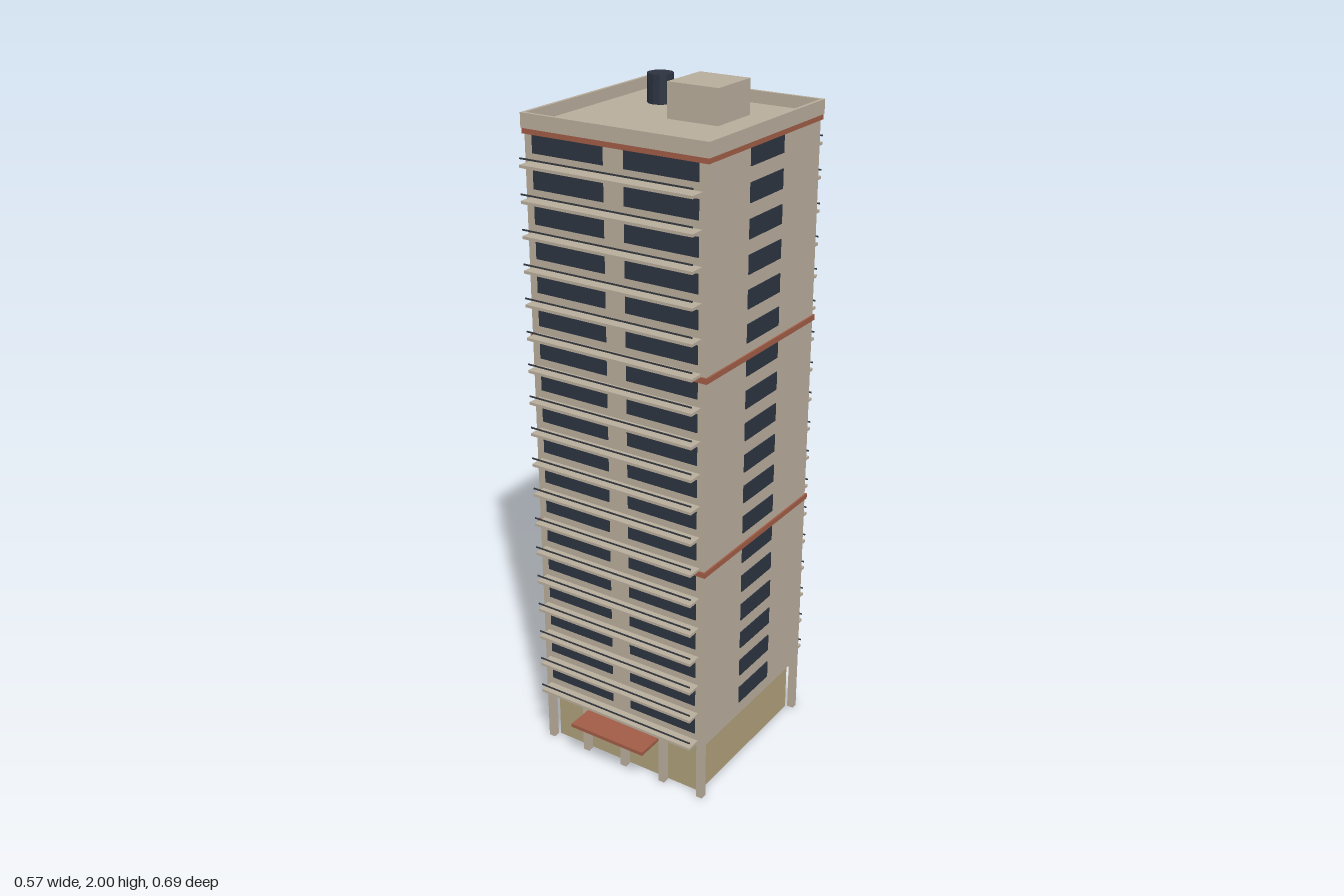
import * as THREE from 'three';

const mat = (name, color, side = THREE.FrontSide) => {
  const m = new THREE.MeshStandardMaterial({ color, side });
  m.name = name;
  return m;
};

export function createModel() {
  const concrete = mat('concrete', 0xb8ad9c);
  const lobbyWall = mat('lobby wall', 0xaf9f7a, THREE.DoubleSide);
  const glass = mat('dark glass', 0x2c3441);
  const terracotta = mat('terracotta', 0xa05c46);
  const railing = mat('railing', 0x34383e);

  const model = new THREE.Group();
  model.name = 'apartmentTower';
  // Everything is laid out around the tower axis, slightly behind the origin
  const tower = new THREE.Group();
  tower.name = 'tower';
  tower.position.z = -0.02;
  model.add(tower);

  const box = (name, m, w, h, d, x, y, z, parent = tower) => {
    const mesh = new THREE.Mesh(new THREE.BoxGeometry(w, h, d), m);
    mesh.name = name;
    mesh.position.set(x, y, z);
    parent.add(mesh);
    return mesh;
  };

  const base = 0.18, floors = 18, pitch = 0.0948, half = 0.28;
  const top = base + floors * pitch;

  // Recessed lobby: four walls, open underneath
  const lobbyGeo = new THREE.CylinderGeometry(0.255 * Math.SQRT2, 0.255 * Math.SQRT2, base, 4, 1, true, Math.PI / 4);
  const lobby = new THREE.Mesh(lobbyGeo.toNonIndexed(), lobbyWall);
  lobby.geometry.computeVertexNormals();
  lobby.name = 'lobby';
  lobby.position.y = base / 2;
  tower.add(lobby);

  // Columns: five along the front, two at the back corners
  for (const x of [-0.27, -0.138, 0, 0.138, 0.27]) box('frontColumn', concrete, 0.02, base, 0.02, x, base / 2, 0.27);
  for (const x of [-0.27, 0.27]) box('backColumn', concrete, 0.02, base, 0.02, x, base / 2, -0.27);

  // Entrance canopy
  box('canopy', terracotta, 0.254, 0.011, 0.115, 0, 0.146, 0.3055);

  // Main shaft
  box('shaft', concrete, 2 * half, top + 0.01 - base, 2 * half, 0, (top + 0.01 + base) / 2, 0);

  // Windows and balconies on every floor
  for (let i = 0; i < floors; i++) {
    const y = base + i * pitch;
    const floor = new THREE.Group();
    floor.name = 'floor';
    tower.add(floor);
    for (const s of [-1, 1]) {
      for (const x of [-0.1435, 0.1435]) box('window', glass, 0.223, 0.053, 0.006, x, y + 0.069, s * half, floor);
      box('sideWindow', glass, 0.006, 0.053, 0.164, s * half, y + 0.069, 0, floor);
      box('balconySlab', concrete, 0.53, 0.008, 0.045, 0, y + 0.016, s * 0.3025, floor);
      box('balconyRail', railing, 0.53, 0.004, 0.003, 0, y + 0.037, s * 0.3235, floor);
    }
  }

  // Coloured bands every six floors
  for (const n of [6, 12, 18]) box('band', terracotta, 0.57, 0.016, 0.57, 0, base + n * pitch + 0.004, 0);

  // Parapet ring around the roof
  const ring = new THREE.Shape();
  const square = (path, r) => path.moveTo(-r, -r).lineTo(r, -r).lineTo(r, r).lineTo(-r, r).closePath();
  square(ring, 0.287);
  const hole = new THREE.Path();
  square(hole, 0.277);
  ring.holes.push(hole);
  const parapetGeo = new THREE.ExtrudeGeometry(ring, { depth: 0.04, bevelEnabled: false });
  parapetGeo.rotateX(-Math.PI / 2);
  const parapet = new THREE.Mesh(parapetGeo, concrete);
  parapet.name = 'parapet';
  parapet.position.y = 1.897;
  tower.add(parapet);

  // Roof deck, stair house and water tank
  box('roofDeck', concrete, 0.56, 0.006, 0.56, 0, 1.9, 0);
  box('stairHouse', concrete, 0.157, 0.1, 0.158, 0.0625, 1.95, -0.064);
  const tankGeo = new THREE.CylinderGeometry(0.037, 0.037, 0.084, 12).toNonIndexed();
  tankGeo.computeVertexNormals();
  const tank = new THREE.Mesh(tankGeo, glass);
  tank.name = 'waterTank';
  tank.position.set(-0.143, 1.942, -0.143);
  tower.add(tank);

  return model;
}
